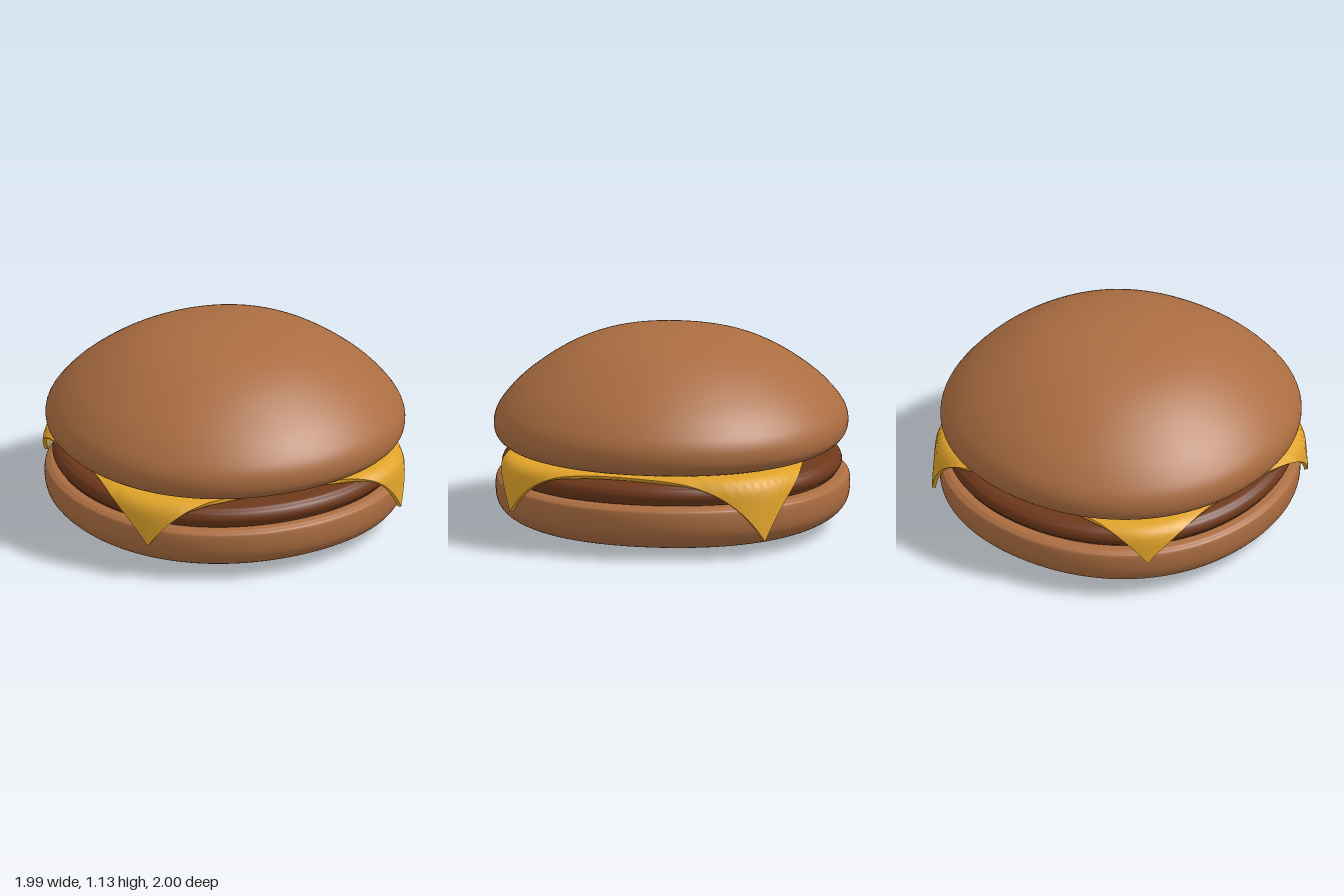
import * as THREE from 'three';

const mat = (color) => new THREE.MeshStandardMaterial({ color });

// Smooth, slightly squarish body from a profile listed bottom to top as [radius, height]
function turned(name, profile, material, z = 0) {
  const curve = new THREE.SplineCurve(profile.map(([r, y]) => new THREE.Vector2(r, y)));
  const points = curve.getPoints(profile.length * 6);
  points.forEach((p) => { p.x = Math.max(0, p.x); });
  const geo = new THREE.LatheGeometry(points, 96);
  const pos = geo.attributes.position;
  for (let i = 0; i < pos.count; i++) {
    // Widen towards the diagonals
    const s = 1 + 0.024 * Math.sin(2 * Math.atan2(pos.getZ(i), pos.getX(i))) ** 2;
    pos.setXYZ(i, pos.getX(i) * s, pos.getY(i), pos.getZ(i) * s);
  }
  const mesh = new THREE.Mesh(geo, material);
  mesh.name = name;
  mesh.position.z = z;
  return mesh;
}

// Square slice: flat in the middle, narrow corners bent down over the patty rim
function cheeseSlice(material) {
  // Flat corner positions as [angle, length]
  const corners = [[49.6, 1.29], [-39.7, 1.37], [143.6, 1.27], [-135.4, 1.22]]
    .map(([deg, len]) => [THREE.MathUtils.degToRad(deg), len]);
  const [frontLeft, backLeft, frontRight, backRight] = corners.map(
    ([a, len]) => new THREE.Vector2(Math.cos(a) * len, Math.sin(a) * len));

  // Bend path as [radius, height] by distance from the centre
  const bend = [[0, 0.47], [0.9, 0.47], [0.99, 0.463], [1.03, 0.435], [1.045, 0.39], [1.065, 0.1]]
    .map(([r, y]) => new THREE.Vector2(r, y));
  const along = (d) => {
    let i = 1;
    let start = 0;
    let len = bend[1].distanceTo(bend[0]);
    while (i < bend.length - 1 && d > start + len) {
      start += len;
      i++;
      len = bend[i].distanceTo(bend[i - 1]);
    }
    return bend[i - 1].clone().lerp(bend[i], (d - start) / len);
  };

  const thickness = 0.022;
  const geo = new THREE.BoxGeometry(2, 2, 2, 48, 1, 48);
  const pos = geo.attributes.position;
  for (let i = 0; i < pos.count; i++) {
    const u = (pos.getX(i) + 1) / 2;
    const v = (pos.getZ(i) + 1) / 2;
    const back = backRight.clone().lerp(backLeft, u);
    const flat = back.lerp(frontRight.clone().lerp(frontLeft, u), v);
    const angle = Math.atan2(flat.y, flat.x);
    // Away from the corners the sides curve in and the bend starts earlier
    const off = Math.min(...corners.map(([a]) => Math.abs(angle - a)), Math.PI / 4);
    const side = Math.sin(2 * off);
    const reach = 1 - 0.14 * side * side;
    const d = flat.length() * (1 - 0.08 * side) / reach;
    const p = along(d);
    const slope = along(d + 0.02).sub(along(Math.max(0, d - 0.02))).normalize();
    // The lower layer is offset inward along the path normal
    const depth = pos.getY(i) < 0 ? thickness : 0;
    const r = Math.max(0, p.x + slope.y * depth) * reach;
    pos.setXYZ(i, Math.cos(angle) * r, p.y - slope.x * depth, Math.sin(angle) * r);
  }
  geo.computeVertexNormals();
  const mesh = new THREE.Mesh(geo, material);
  mesh.name = 'cheeseSlice';
  return mesh;
}

export function createModel() {
  const group = new THREE.Group();
  group.name = 'burger';
  const bun = mat(0xab6d41);
  const patty = mat(0x6e381b);
  const cheese = mat(0xe0a329);
  cheese.side = THREE.DoubleSide;

  group.add(turned('bottomBun', [
    [0, 0], [0.35, 0.005], [0.6, 0.018], [0.8, 0.042], [0.91, 0.08], [0.97, 0.13],
    [0.993, 0.19], [0.994, 0.27], [0.975, 0.298], [0.9, 0.31], [0.5, 0.312], [0, 0.312],
  ], bun, -0.005));

  group.add(turned('patty', [
    [0, 0.305], [0.5, 0.305], [0.88, 0.308], [0.93, 0.325], [0.953, 0.355],
    [0.952, 0.385], [0.93, 0.412], [0.86, 0.43], [0.5, 0.436], [0, 0.436],
  ], patty));

  group.add(cheeseSlice(cheese));

  group.add(turned('topBun', [
    [0, 0.455], [0.5, 0.457], [0.8, 0.463], [0.91, 0.483], [0.97, 0.52], [0.994, 0.57],
    [0.99, 0.64], [0.95, 0.715], [0.85, 0.825], [0.7, 0.94], [0.55, 1.025], [0.4, 1.08],
    [0.22, 1.115], [0.08, 1.125], [0, 1.126],
  ], bun, 0.005));

  return group;
}
